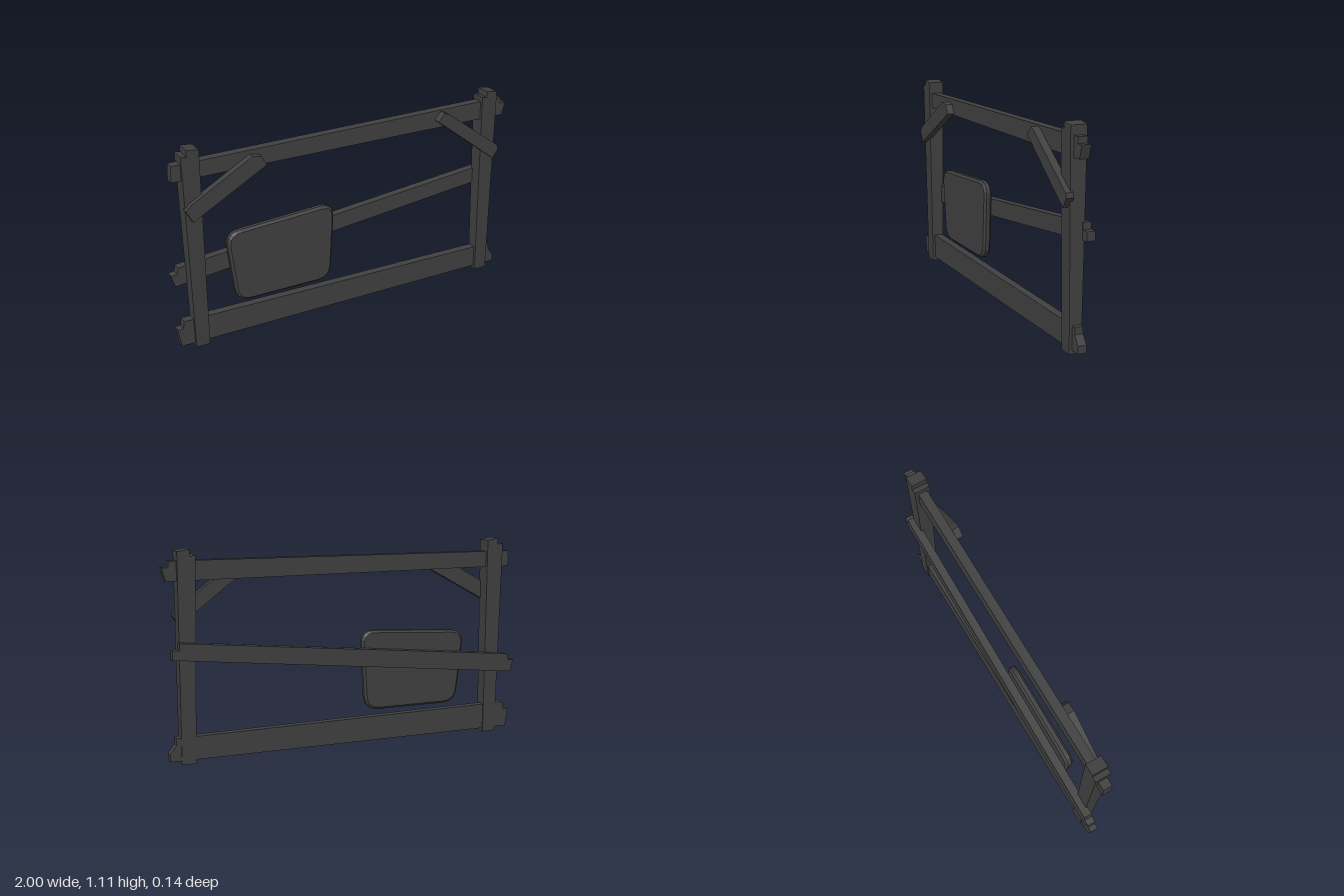
import * as THREE from 'three';

const material = new THREE.MeshStandardMaterial({ color: 0x404040, flatShading: true });

// Plank: an outline in x/y given thickness from z0 to z1
function plank(name, points, z0, z1) {
  const shape = new THREE.Shape(points.map(([x, y]) => new THREE.Vector2(x, y)));
  const geometry = new THREE.ExtrudeGeometry(shape, { depth: z1 - z0, bevelEnabled: false });
  geometry.translate(0, 0, z0);
  const mesh = new THREE.Mesh(geometry, material);
  mesh.name = name;
  return mesh;
}

// Polygon with each corner rounded by a quadratic curve
function roundedShape(corners, radius) {
  const pts = corners.map(([x, y]) => new THREE.Vector2(x, y));
  const shape = new THREE.Shape();
  pts.forEach((p, i) => {
    const prev = pts[(i + pts.length - 1) % pts.length];
    const next = pts[(i + 1) % pts.length];
    const a = prev.clone().sub(p).setLength(radius).add(p);
    const b = next.clone().sub(p).setLength(radius).add(p);
    if (i === 0) shape.moveTo(a.x, a.y);
    else shape.lineTo(a.x, a.y);
    shape.quadraticCurveTo(p.x, p.y, b.x, b.y);
  });
  shape.closePath();
  return shape;
}

export function createModel() {
  const model = new THREE.Group();

  // Two posts with a chipped top, growing thicker upwards
  for (const [name, x] of [['rightPost', -0.88], ['leftPost', 0.88]]) {
    const post = plank(name, [
      [-0.03, 0], [0.045, 0], [0.045, 1.1], [-0.02, 1.11], [-0.02, 1.075], [-0.05, 1.08],
    ], -0.5, 0.5);
    const pos = post.geometry.attributes.position;
    for (let i = 0; i < pos.count; i++) {
      const t = pos.getY(i) / 1.11;
      pos.setZ(i, 0.002 + pos.getZ(i) * (0.065 + 0.022 * t));
    }
    post.geometry.computeVertexNormals();
    post.position.x = x;
    model.add(post);
  }

  // Rails with broken ends
  model.add(plank('topRail', [
    [-0.98, 0.95], [0.98, 0.95], [1, 1.02], [0.965, 1.02], [0.965, 1.053], [-0.975, 1.035], [-0.98, 0.99],
  ], -0.022, 0.028));
  model.add(plank('bottomRail', [
    [-0.985, 0.02], [0.985, 0.02], [0.985, 0.06], [0.95, 0.105], [0.95, 0.142],
    [-0.965, 0.162], [-0.97, 0.12], [-1, 0.12],
  ], -0.025, 0.02));
  model.add(plank('slantedRail', [
    [-0.98, 0.35], [0.968, 0.558], [0.968, 0.605], [0.93, 0.605], [0.93, 0.642],
    [-0.96, 0.453], [-0.967, 0.418], [-1, 0.415],
  ], -0.07, -0.025));

  // Diagonal corner braces on the front
  model.add(plank('rightBrace', [
    [-0.895, 0.735], [-0.49, 0.96], [-0.515, 1.01], [-0.565, 1.02], [-0.9, 0.83], [-0.93, 0.8],
  ], 0.03, 0.07));
  model.add(plank('leftBrace', [
    [0.53, 1.0], [0.905, 0.715], [0.938, 0.765], [0.932, 0.79], [0.6, 1.03], [0.57, 1.043],
  ], 0.03, 0.07));

  // Rounded sign board with a chamfered front rim
  const bevel = 0.012;
  const outline = roundedShape([
    [-0.66 + bevel, 0.19 + bevel], [-0.105 - bevel, 0.19 + bevel],
    [-0.08 - bevel, 0.635 - bevel], [-0.705 + bevel, 0.6 - bevel],
  ], 0.07);
  const boardGeometry = new THREE.ExtrudeGeometry(outline, {
    depth: 0.021, bevelThickness: bevel, bevelSize: bevel, bevelSegments: 1, curveSegments: 5,
  });
  boardGeometry.translate(0, 0, -0.013);
  // Keep the back edge square
  const board = new THREE.Mesh(boardGeometry, material);
  board.name = 'signBoard';
  model.add(board);

  return model;
}
